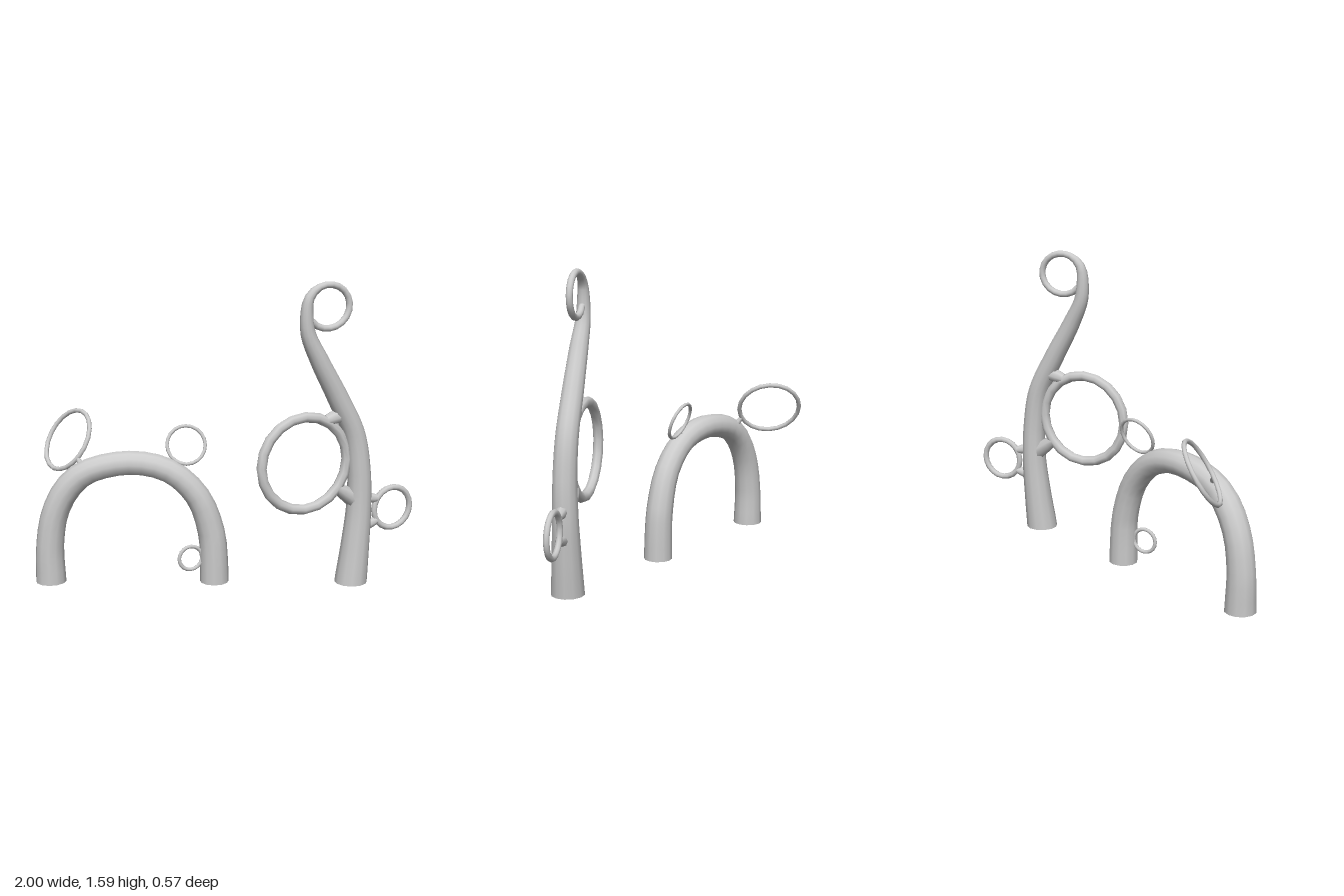
import * as THREE from 'three';

const material = new THREE.MeshStandardMaterial({ color: 0xcccccc, side: THREE.DoubleSide });

function addMesh(parent, name, geometry) {
  const mesh = new THREE.Mesh(geometry, material);
  mesh.name = name;
  parent.add(mesh);
  return mesh;
}

// Tube through [x, y, z, radius] points, with the radius blended along the path
function taperedTube(points, segments, sides) {
  const curve = new THREE.CatmullRomCurve3(points.map(p => new THREE.Vector3(p[0], p[1], p[2])));
  const geometry = new THREE.TubeGeometry(curve, segments, 1, sides);
  const pos = geometry.attributes.position;
  const v = new THREE.Vector3();
  for (let i = 0; i <= segments; i++) {
    const centre = curve.getPointAt(i / segments);
    const t = curve.getUtoTmapping(i / segments) * (points.length - 1);
    const k = Math.min(Math.floor(t), points.length - 2);
    const radius = THREE.MathUtils.lerp(points[k][3], points[k + 1][3], t - k);
    for (let j = 0; j <= sides; j++) {
      const n = i * (sides + 1) + j;
      v.fromBufferAttribute(pos, n).sub(centre).multiplyScalar(radius).add(centre);
      // keep the feet flat on the floor
      const y = centre.y < 0.001 ? 0 : Math.max(0, v.y);
      pos.setXYZ(n, v.x, y, v.z);
    }
  }
  return geometry;
}

// Flat underside of a foot
function addFoot(parent, name, [x, , z, radius]) {
  const cap = addMesh(parent, name, new THREE.CircleGeometry(radius, 12));
  cap.rotation.x = Math.PI / 2;
  cap.position.set(x, 0, z);
}

// Ring given by centre, facing direction and sizes
function addRing(parent, name, centre, normal, radius, thickness) {
  const ring = addMesh(parent, name, new THREE.TorusGeometry(radius, thickness, 8, 20));
  ring.position.set(...centre);
  ring.quaternion.setFromUnitVectors(new THREE.Vector3(0, 0, 1), new THREE.Vector3(...normal).normalize());
}

// Short flared joint between a ring and a trunk
function addJoint(parent, name, from, to) {
  addMesh(parent, name, taperedTube([from, to], 3, 8));
}

function createArch() {
  const arch = new THREE.Group();
  arch.name = 'arch';
  const path = [
    [-0.917, 0, 0.065, 0.08], [-0.917, 0.2, 0.065, 0.073], [-0.885, 0.38, 0.065, 0.07],
    [-0.81, 0.52, 0.065, 0.07], [-0.71, 0.6, 0.065, 0.066], [-0.475, 0.647, 0.065, 0.064],
    [-0.28, 0.6, 0.067, 0.064], [-0.14, 0.465, 0.065, 0.066], [-0.07, 0.27, 0.06, 0.071],
    [-0.057, 0.12, 0.06, 0.074], [-0.055, 0, 0.06, 0.076],
  ];
  addMesh(arch, 'archTube', taperedTube(path, 26, 12));
  addFoot(arch, 'rightFootCap', path[0]);
  addFoot(arch, 'leftFootCap', path[path.length - 1]);

  addRing(arch, 'tiltedArchRing', [-0.833, 0.722, -0.128], [-0.67, 0.52, 0.55], 0.168, 0.012);
  addJoint(arch, 'tiltedRingJoint', [-0.765, 0.655, 0.015, 0.011], [-0.725, 0.59, 0.05, 0.022]);
  addRing(arch, 'upperArchRing', [-0.2, 0.732, 0.025], [0.15, 0.35, 0.92], 0.1, 0.009);
  addJoint(arch, 'upperRingJoint', [-0.255, 0.655, 0.06, 0.012], [-0.275, 0.61, 0.065, 0.026]);
  addRing(arch, 'lowerArchRing', [-0.178, 0.14, 0.1], [0.35, 0, 0.93], 0.063, 0.01);
  addJoint(arch, 'lowerRingJoint', [-0.122, 0.14, 0.08, 0.018], [-0.08, 0.14, 0.065, 0.04]);
  return arch;
}

function createStalk() {
  const stalk = new THREE.Group();
  stalk.name = 'stalk';
  const path = [
    [0.665, 0, 0.065, 0.086], [0.685, 0.2, 0.052, 0.075], [0.7, 0.4, 0.043, 0.066],
    [0.697, 0.6, 0.045, 0.061], [0.665, 0.8, 0.056, 0.058], [0.575, 1.0, 0.095, 0.055],
    [0.475, 1.2, 0.14, 0.048], [0.415, 1.34, 0.162, 0.038],
  ];
  // curl at the tip, one clockwise turn in a slanted plane
  for (let i = 0; i <= 14; i++) {
    const angle = Math.PI - (i / 14) * Math.PI * 1.82;
    const across = 0.122 * Math.cos(angle);
    path.push([
      0.518 + across * 0.9, 1.467 + 0.11 * Math.sin(angle), 0.113 - across * 0.42,
      i < 3 ? 0.03 - i * 0.004 : 0.017,
    ]);
  }
  path.push([0.405, 1.41, 0.162, 0.017]);
  addMesh(stalk, 'stalkTube', taperedTube(path, 60, 12));
  addFoot(stalk, 'stalkFootCap', path[0]);

  addRing(stalk, 'largeRing', [0.407, 0.67, 0.168], [0.41, 0, 0.91], 0.243, 0.027);
  addJoint(stalk, 'largeRingTopJoint', [0.52, 0.885, 0.117, 0.028], [0.62, 0.915, 0.07, 0.045]);
  addJoint(stalk, 'largeRingBottomJoint', [0.58, 0.52, 0.09, 0.027], [0.675, 0.45, 0.05, 0.05]);

  addRing(stalk, 'sideRing', [0.885, 0.375, -0.045], [0.43, 0, 0.9], 0.11, 0.016);
  for (const s of [-1, 1]) {
    addJoint(stalk, 'sideRingJoint', [0.802, 0.375 + s * 0.06, -0.005, 0.017], [0.735, 0.375 + s * 0.075, 0.03, 0.034]);
  }
  return stalk;
}

export function createModel() {
  const model = new THREE.Group();
  model.name = 'ringedArchAndStalk';
  model.add(createArch(), createStalk());
  return model;
}
